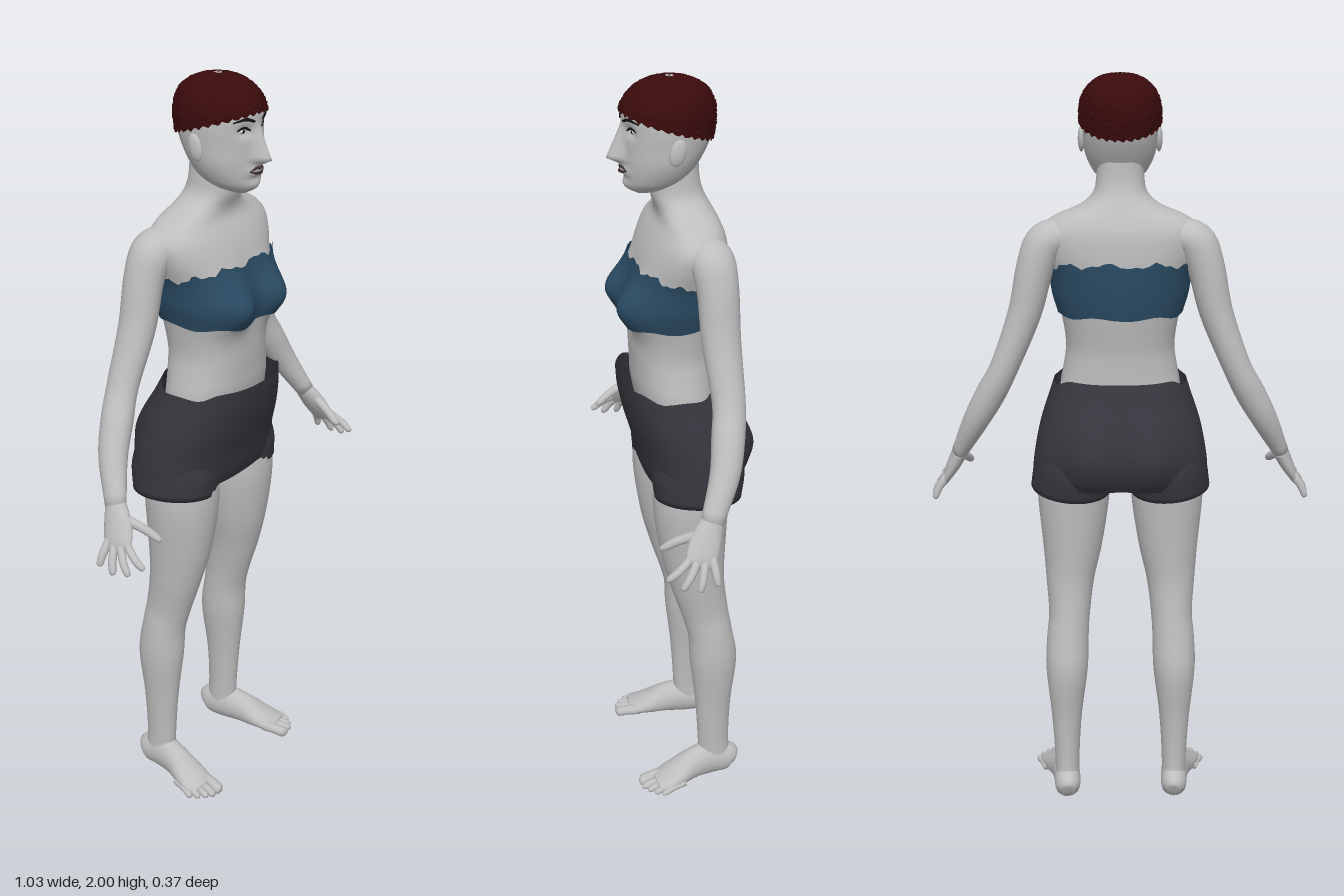
import * as THREE from 'three';

const mat = (name, color, side = THREE.FrontSide) => {
  const m = new THREE.MeshStandardMaterial({ color, side });
  m.name = name;
  return m;
};
const gauss = (v, c, s) => Math.exp(-(((v - c) / s) ** 2));
const spow = (v, p) => Math.sign(v) * Math.abs(v) ** p;

// Smooth lookup in rows keyed by their first number (ascending)
function sample(rows, key) {
  let i = 0;
  while (i < rows.length - 2 && key > rows[i + 1][0]) i++;
  const a = rows[i], b = rows[i + 1], h = b[0] - a[0];
  const t = THREE.MathUtils.clamp((key - a[0]) / h, 0, 1);
  const p = rows[Math.max(i - 1, 0)], n = rows[Math.min(i + 2, rows.length - 1)];
  return a.slice(1).map((v, j) => {
    const k = j + 1;
    const m0 = h * (b[k] - p[k]) / (b[0] - p[0]), m1 = h * (n[k] - a[k]) / (n[0] - a[0]);
    return v * (2 * t ** 3 - 3 * t * t + 1) + m0 * (t ** 3 - 2 * t * t + t)
      + b[k] * (3 * t * t - 2 * t ** 3) + m1 * (t ** 3 - t * t);
  });
}

// Skin stretched over rings: fn(u, angle) gives a point
function grid(name, material, nu, nv, fn) {
  const pos = [], idx = [];
  for (let i = 0; i <= nu; i++) for (let j = 0; j < nv; j++) pos.push(...fn(i / nu, (j / nv) * Math.PI * 2));
  for (let i = 0; i < nu; i++) for (let j = 0; j < nv; j++) {
    const a = i * nv + j, b = i * nv + (j + 1) % nv;
    idx.push(a, b, a + nv, b, b + nv, a + nv);
  }
  const g = new THREE.BufferGeometry();
  g.setAttribute('position', new THREE.Float32BufferAttribute(pos, 3));
  g.setIndex(idx);
  g.computeVertexNormals();
  const mesh = new THREE.Mesh(g, material);
  mesh.name = name;
  return mesh;
}

// Tapered tube with closed ends through points [x, y, z, radiusAcross, radiusDeep]
function limb(name, material, pts, ref, nv = 20, steps = 5) {
  const rows = pts.map((p, i) => [i, ...p]), last = pts.length - 1, n = last * steps;
  const at = (k) => new THREE.Vector3(...sample(rows, k));
  return grid(name, material, n + 2, nv, (u, a) => {
    const r = Math.round(u * (n + 2)) - 1;
    const k = THREE.MathUtils.clamp(r, 0, n) / steps;
    const cap = r < 0 || r > n ? 0 : 1;
    const T = at(Math.min(k + 0.1, last)).sub(at(Math.max(k - 0.1, 0))).normalize();
    const side = ref.clone().cross(T).normalize(), deep = T.clone().cross(side);
    const [, , , ra, rb] = sample(rows, k);
    return at(k).addScaledVector(side, cap * ra * Math.cos(a)).addScaledVector(deep, cap * rb * Math.sin(a)).toArray();
  });
}

// Point on an upright body form with rows [y, halfWidth, zFront, zBack]
function bodyPoint(rows, y, a, { power = 2, grow = 0, bump = () => 0 }) {
  const [w, f, b] = sample(rows, y), s = Math.sin(a), c = Math.cos(a);
  const x = (Math.max(w, 0.002) + grow) * spow(s, 2 / power);
  const z = (f + b) / 2 + (Math.max((f - b) / 2, 0.002) + grow) * spow(c, 2 / power);
  return [x, y, z + bump(x, y, c)];
}
function body(name, material, rows, lo, hi, nu, nv, opt = {}) {
  return grid(name, material, nu, nv, (u, a) => {
    const e = opt.ease ? 0.5 - 0.5 * Math.cos(Math.PI * u) : u;
    const grow = (opt.grow || 0) + (opt.fuzz ? opt.fuzz * Math.abs(Math.sin(u * 913.7 + a * 517.3) * 43.7 % 1) : 0);
    return bodyPoint(rows, lo(a) + (hi(a) - lo(a)) * e, a, { ...opt, grow });
  });
}

const TORSO = [
  [1.05, 0.17, 0.09, -0.1], [1.2, 0.157, 0.12, -0.088], [1.25, 0.148, 0.123, -0.088], [1.3, 0.142, 0.125, -0.09],
  [1.38, 0.152, 0.122, -0.102], [1.44, 0.168, 0.12, -0.11], [1.5, 0.178, 0.112, -0.114], [1.56, 0.2, 0.1, -0.114],
  [1.61, 0.205, 0.078, -0.108], [1.645, 0.168, 0.058, -0.095], [1.67, 0.105, 0.058, -0.082],
  [1.7, 0.07, 0.067, -0.066], [1.74, 0.061, 0.068, -0.054], [1.82, 0.056, 0.06, -0.05],
];
const HEAD = [
  [1.712, 0.02, 0.108, 0.06], [1.725, 0.046, 0.128, 0.01], [1.745, 0.067, 0.135, -0.025], [1.79, 0.088, 0.136, -0.055],
  [1.84, 0.095, 0.137, -0.08], [1.88, 0.098, 0.139, -0.088], [1.92, 0.096, 0.137, -0.088],
  [1.95, 0.085, 0.122, -0.078], [1.975, 0.063, 0.094, -0.053], [1.99, 0.034, 0.058, -0.018], [1.995, 0.004, 0.024, 0.016],
];
const SHORTS = [
  [0.94, 0.228, 0.098, -0.14], [0.97, 0.232, 0.108, -0.155], [1.03, 0.225, 0.12, -0.165], [1.1, 0.21, 0.14, -0.15],
  [1.17, 0.186, 0.155, -0.12], [1.225, 0.168, 0.16, -0.095],
];

const bust = (x, y, c) => c > 0 ? 0.054 * gauss(Math.abs(x), 0.083, 0.068) * gauss(y, 1.435, 0.065) * Math.min(1, c * 3) : 0;
const seat = (x, y, c) => c < 0 ? -0.028 * gauss(Math.abs(x), 0.08, 0.055) * gauss(y, 1.02, 0.1) * Math.min(1, -c * 3) : 0;
// Nose, eye sockets, lips and chin
const face = (x, y, c) => {
  if (c < 0.2) return 0;
  const nose = y > 1.803 ? Math.max(0, (1.89 - y) / 0.087) : Math.max(0, (y - 1.783) / 0.02);
  return 0.043 * nose * gauss(x, 0, 0.009 + 0.008 * nose) - 0.012 * gauss(Math.abs(x), 0.038, 0.018) * gauss(y, 1.873, 0.014)
    + 0.009 * gauss(x, 0, 0.026) * gauss(y, 1.773, 0.013) + 0.004 * gauss(x, 0, 0.02) * gauss(y, 1.735, 0.012)
    - 0.004 * gauss(x, 0, 0.03) * gauss(y, 1.754, 0.007);
};
const faceZ = (x, y) => bodyPoint(HEAD, y, Math.asin(x / sample(HEAD, y)[0]), { bump: face })[2];

export function createModel() {
  const model = new THREE.Group();
  model.name = 'standingFigure';
  const skin = mat('skin', 0xbebebe), hairMat = mat('hair', 0x3a0b0c, THREE.DoubleSide);
  const topMat = mat('topFabric', 0x2a4a62, THREE.DoubleSide), shortsMat = mat('shortsFabric', 0x37353d, THREE.DoubleSide);
  const dark = mat('browAndLash', 0x151011), lipMat = mat('lips', 0x453536), eyeMat = mat('eye', 0xd6d6d6);
  const Z = new THREE.Vector3(0, 0, 1), Y = new THREE.Vector3(0, 1, 0);
  const add = (m) => (model.add(m), m);
  const ball = (name, material, p, s, tilt = 0) => {
    const m = add(new THREE.Mesh(new THREE.SphereGeometry(1, 16, 12), material));
    m.name = name;
    m.position.set(...p);
    m.scale.set(...s);
    m.rotation.x = tilt;
  };
  // Thin stroke lying on the face
  const stroke = (name, material, pts, h) => add(limb(name, material,
    pts.map(([x, y, k]) => [x, y, faceZ(x, y), 0.004 * k, h * k]), Z, 8, 4));

  // Trunk, neck and head
  add(body('torso', skin, TORSO, () => 1.05, () => 1.82, 72, 56, { power: 2.3, bump: bust }));
  add(body('head', skin, HEAD, () => 1.712, () => 1.995, 60, 88, { ease: true, bump: face }));
  add(body('hair', hairMat, HEAD,
    (a) => 1.879 + 0.037 * Math.cos(a) + 0.004 * Math.sin(31 * a), () => 1.995, 40, 90, { ease: true, grow: 0.004, fuzz: 0.005 }));

  // Clothes
  add(body('bandeauTop', topMat, TORSO,
    (a) => 1.383 + 0.012 * (1 - Math.cos(a)) * 0.5 + 0.004 * Math.sin(7 * a + 1),
    (a) => 1.536 - 0.02 * Math.sin(a) ** 4 + 0.006 * Math.sin(11 * a) + 0.004 * Math.sin(25 * a + 1),
    24, 80, { power: 2.3, grow: 0.008, bump: bust }));
  add(body('shorts', shortsMat, SHORTS, () => 0.94,
    (a) => 1.218 - 0.018 * gauss(Math.abs(Math.sin(a)), 0.95, 0.12), 30, 56, { power: 2.3, bump: seat }));
  const gusset = add(new THREE.Mesh(new THREE.CircleGeometry(1, 32), shortsMat));
  gusset.name = 'shortsGusset';
  gusset.position.set(0, 0.941, -0.02);
  gusset.scale.set(0.22, 0.115, 1);
  gusset.rotation.x = Math.PI / 2;

  stroke('upperLip', lipMat, [[-0.028, 1.773, 0.4], [-0.009, 1.781, 1], [0, 1.779, 1], [0.009, 1.781, 1], [0.028, 1.773, 0.4]], 0.004);
  stroke('lowerLip', lipMat, [[-0.026, 1.772, 0.4], [0, 1.768, 1.2], [0.026, 1.772, 0.4]], 0.004);

  for (const s of [1, -1]) {
    const label = s > 0 ? 'left' : 'right';
    const tube = (name, material, pts, ref, nv, steps) =>
      add(limb(label + name, material, pts.map(([x, ...r]) => [x * s, ...r]), ref, nv, steps));

    // Face details
    ball(label + 'Eye', eyeMat, [0.038 * s, 1.874, faceZ(0.038, 1.874) - 0.006], [0.014, 0.009, 0.01]);
    ball(label + 'Iris', dark, [0.038 * s, 1.873, faceZ(0.038, 1.874) + 0.002], [0.005, 0.005, 0.003]);
    stroke(label + 'Lash', dark, [[0.022, 1.874, 0.5], [0.038, 1.883, 1], [0.055, 1.876, 0.6]].map(([x, y, k]) => [x * s, y, k]), 0.002);
    stroke(label + 'Brow', dark, [[0.016, 1.896, 0.8], [0.04, 1.904, 1], [0.066, 1.897, 0.4]].map(([x, y, k]) => [x * s, y, k]), 0.004);
    ball(label + 'Ear', skin, [0.098 * s, 1.832, 0.022], [0.009, 0.034, 0.02], -0.25);

    // Arm
    tube('Arm', skin, [
      [0.13, 1.6, -0.03, 0.038, 0.05], [0.188, 1.585, -0.04, 0.05, 0.056], [0.217, 1.52, -0.048, 0.048, 0.052],
      [0.246, 1.4, -0.05, 0.043, 0.049], [0.3, 1.26, -0.056, 0.037, 0.042], [0.34, 1.18, -0.045, 0.039, 0.042],
      [0.382, 1.1, -0.026, 0.034, 0.038], [0.43, 1.0, 0.018, 0.022, 0.029]], Z);
    tube('Palm', skin, [
      [0.426, 1.008, 0.014, 0.022, 0.028], [0.448, 0.96, 0.038, 0.019, 0.04],
      [0.466, 0.925, 0.053, 0.014, 0.04], [0.474, 0.905, 0.06, 0.008, 0.032]], Z);
    tube('Thumb', skin, [
      [0.44, 0.98, 0.045, 0.014, 0.014], [0.422, 0.957, 0.1, 0.012, 0.012], [0.412, 0.938, 0.13, 0.01, 0.01], [0.41, 0.932, 0.143, 0.005, 0.005]], Y, 10, 3);
    [[0.468, 0.925, 0.083, 0.48, 0.882, 0.143], [0.473, 0.918, 0.066, 0.497, 0.86, 0.108],
      [0.473, 0.916, 0.046, 0.506, 0.854, 0.066], [0.467, 0.925, 0.026, 0.502, 0.862, 0.02]].forEach(([x, y, z, X, V, W], i) => {
      const mix = (t, r) => [x + (X - x) * t + 0.006 * Math.sin(Math.PI * t), y + (V - y) * t, z + (W - z) * t, r, r];
      tube('Finger' + (i + 1), skin, [mix(0, 0.011), mix(0.5, 0.0105), mix(0.88, 0.009), mix(1, 0.005)], new THREE.Vector3(1, 0, 0), 10, 3);
    });

    // Leg
    tube('ShortsLeg', shortsMat, [
      [0.122, 1.06, -0.025, 0.085, 0.1], [0.127, 0.98, -0.025, 0.102, 0.122], [0.133, 0.912, -0.022, 0.106, 0.116]], Z, 32);
    tube('Leg', skin, [
      [0.125, 0.98, -0.01, 0.095, 0.1], [0.126, 0.88, -0.005, 0.096, 0.1], [0.13, 0.75, -0.01, 0.081, 0.088],
      [0.137, 0.65, -0.021, 0.066, 0.074], [0.14, 0.55, -0.042, 0.056, 0.064], [0.145, 0.48, -0.056, 0.057, 0.061],
      [0.148, 0.39, -0.065, 0.057, 0.065], [0.15, 0.25, -0.065, 0.042, 0.05], [0.15, 0.12, -0.067, 0.034, 0.044],
      [0.15, 0.04, -0.072, 0.034, 0.046]], Z, 28);
    tube('Foot', skin, [
      [0.148, 0.035, -0.128, 0.018, 0.022], [0.149, 0.044, -0.11, 0.034, 0.043], [0.152, 0.052, -0.06, 0.037, 0.052],
      [0.162, 0.046, -0.005, 0.038, 0.046], [0.174, 0.032, 0.045, 0.046, 0.032], [0.184, 0.021, 0.085, 0.047, 0.02],
      [0.187, 0.016, 0.108, 0.036, 0.013]], Y, 24);
    [[0.152, 0.165, 0.152, 0.016], [0.178, 0.191, 0.149, 0.011], [0.193, 0.208, 0.137, 0.01],
      [0.205, 0.223, 0.12, 0.0095], [0.214, 0.234, 0.1, 0.009]].forEach(([x, X, tip, r], i) => {
      tube('Toe' + (i + 1), skin, [
        [x, 0.02, tip - 0.07, r, r], [(x + X) / 2, 0.018, tip - 0.035, r, r * 0.9],
        [X, 0.013, tip - 0.008, r, r * 0.9], [X, 0.012, tip, r * 0.5, r * 0.5]], Y, 10, 3);
    });
  }
  return model;
}
